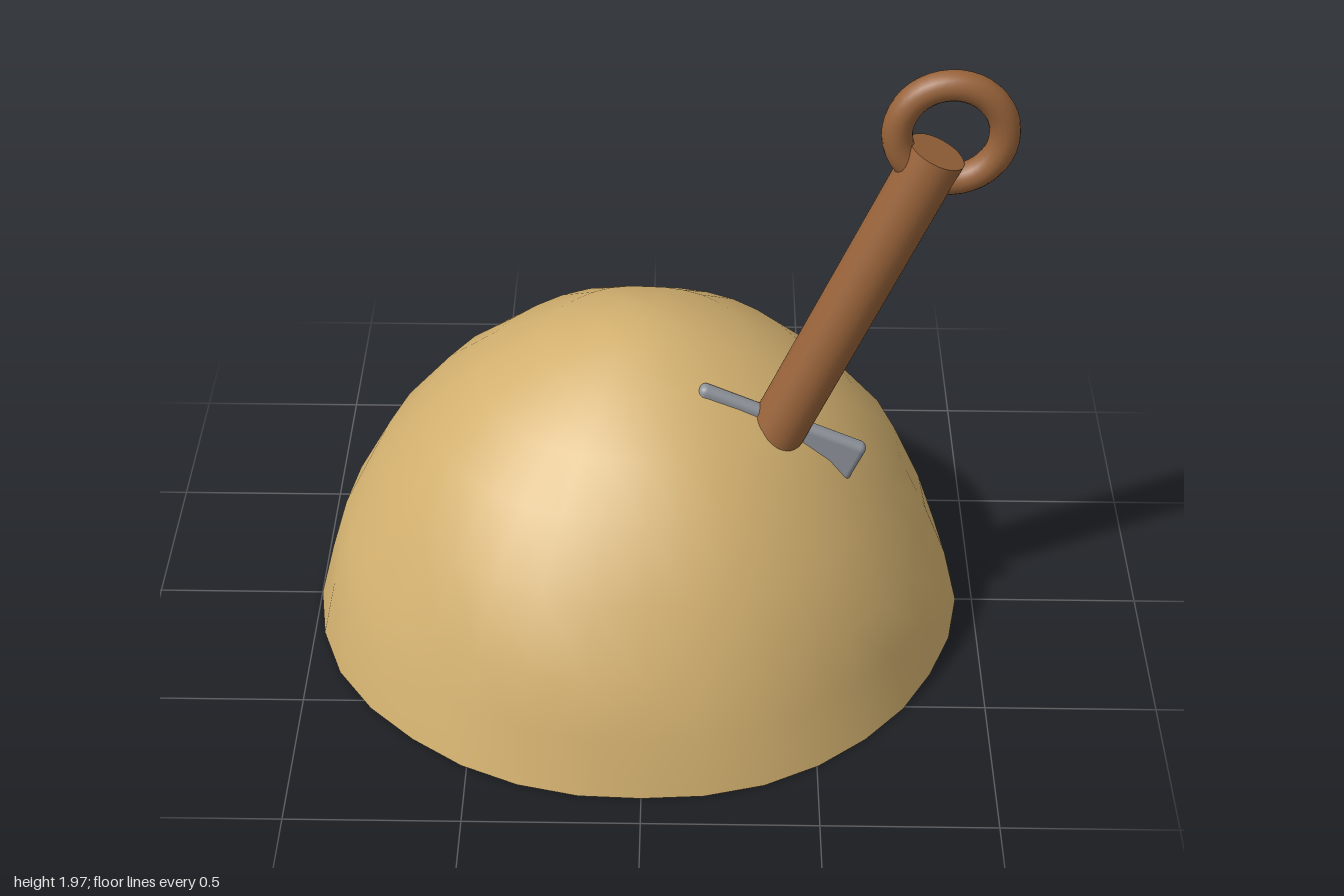
import * as THREE from 'three';
import { mergeVertices } from 'three/addons/utils/BufferGeometryUtils.js';
import { RoundedBoxGeometry } from 'three/addons/geometries/RoundedBoxGeometry.js';

const sand = new THREE.MeshStandardMaterial({ color: 0xd2b06f, side: THREE.DoubleSide });
sand.name = 'sand';
const wood = new THREE.MeshStandardMaterial({ color: 0x98633a });
wood.name = 'wood';
const metal = new THREE.MeshStandardMaterial({ color: 0x8f949b });
metal.name = 'metal';

function part(name, geometry, material, x = 0, y = 0, z = 0) {
  const mesh = new THREE.Mesh(geometry, material);
  mesh.name = name;
  mesh.position.set(x, y, z);
  return mesh;
}

// Rim radius every 22.5 degrees, starting at +z and turning towards +x
const RIM = [0.9, 0.91, 0.91, 0.92, 0.95, 0.95, 0.92, 0.91, 0.9, 0.94, 0.95, 0.99, 1.0, 0.98, 0.94, 0.92];

function rimRadius(angle) {
  const n = RIM.length;
  const t = ((angle / (2 * Math.PI)) * n + n) % n;
  const i = Math.floor(t);
  return THREE.MathUtils.lerp(RIM[i % n], RIM[(i + 1) % n], t - i);
}

// Open, hollow mound: a lathe whose rings follow the uneven rim
function moundGeometry() {
  const profile = [
    [1, 0], [0.955, 0.18], [0.895, 0.35], [0.79, 0.54], [0.65, 0.72],
    [0.5, 0.845], [0.31, 0.955], [0.13, 1.01], [0, 1.02],
  ].map(([r, y]) => new THREE.Vector2(r, y));
  let geometry = new THREE.LatheGeometry(profile, 32);
  const p = geometry.attributes.position;
  for (let i = 0; i < p.count; i++) {
    const x = p.getX(i), y = p.getY(i), z = p.getZ(i);
    const angle = Math.atan2(x, z);
    // Gentle lumps that fade out at the rim and the top
    const lump = 1 + 0.014 * Math.sin(angle * 5 + y * 9) * Math.sin(Math.PI * Math.min(y / 1.02, 1));
    const s = rimRadius(angle) * lump;
    p.setXYZ(i, x * s, y, z * s);
  }
  geometry.deleteAttribute('uv');
  geometry.deleteAttribute('normal');
  geometry = mergeVertices(geometry, 1e-4);
  geometry.computeVertexNormals();
  return geometry;
}

export function createModel() {
  const model = new THREE.Group();
  model.name = 'spadeInMound';
  model.add(part('mound', moundGeometry(), sand));

  // Spade, built upright with the shaft foot at its origin, then leaned over
  const spade = new THREE.Group();
  spade.name = 'spade';
  spade.add(
    part('shaft', new THREE.CylinderGeometry(0.081, 0.081, 1.04, 32), wood, 0, 0.47, 0),
    part('handleRing', new THREE.TorusGeometry(0.143, 0.042, 16, 40), wood, 0.007, 1.057, 0),
    part('blade', new RoundedBoxGeometry(0.52, 0.53, 0.046, 4, 0.02), metal, 0, -0.217, 0),
  );
  spade.position.set(0.38, 0.82, 0.242);
  spade.rotation.z = -0.414;
  model.add(spade);
  return model;
}
